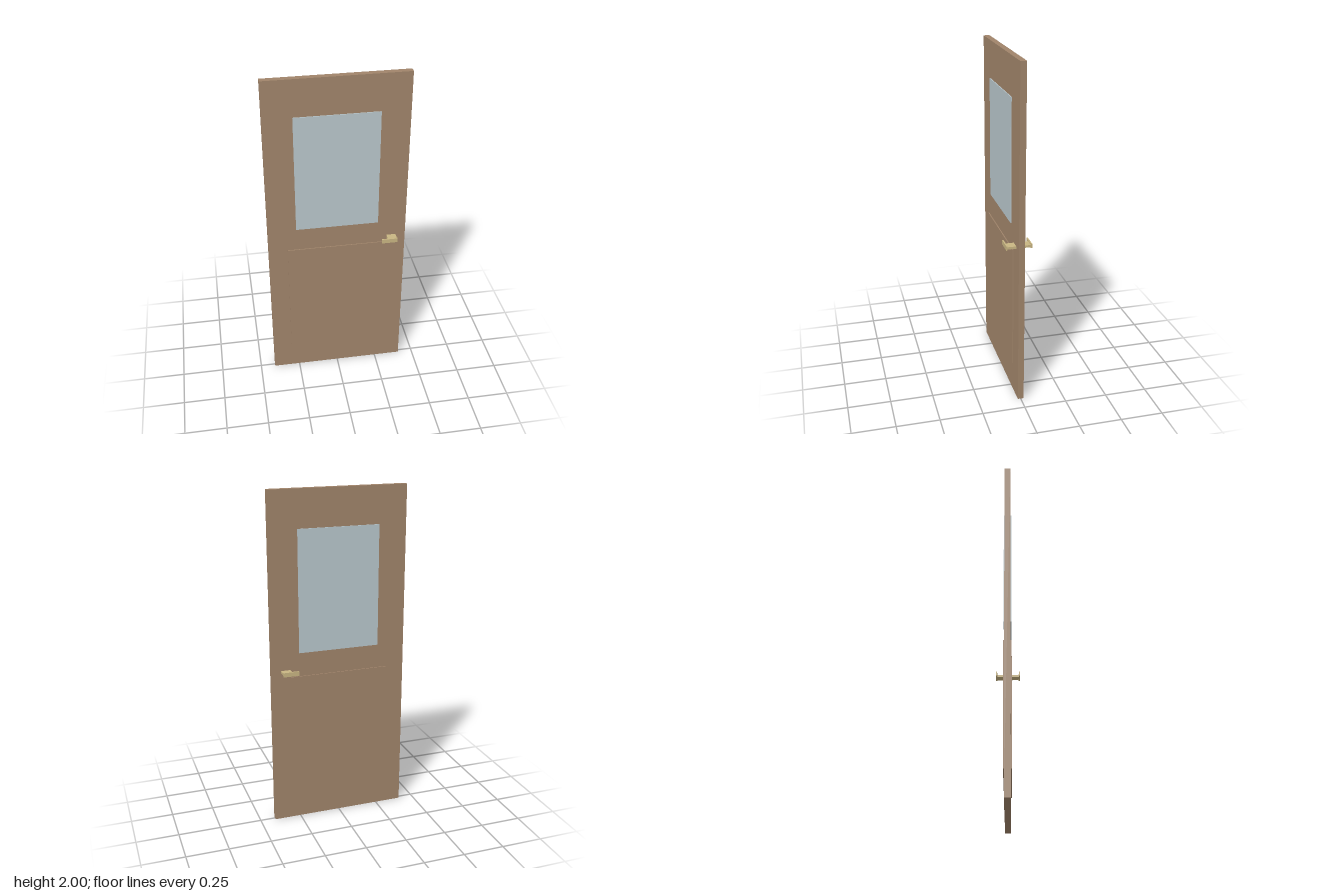
import * as THREE from 'three';

export function createModel() {
  const group = new THREE.Group();
  const material = (name, color) => {
    const m = new THREE.MeshStandardMaterial({ color });
    m.name = name;
    return m;
  };
  const wood = material('wood', 0xa0846a);
  const glass = material('glass', 0xb8c6cb);
  const brass = material('brass', 0xc8b582);

  // Box given by its limits on each axis
  const box = (name, mat, [x0, x1], [y0, y1], [z0, z1]) => {
    const mesh = new THREE.Mesh(new THREE.BoxGeometry(x1 - x0, y1 - y0, z1 - z0), mat);
    mesh.position.set((x0 + x1) / 2, (y0 + y1) / 2, (z0 + z1) / 2);
    mesh.name = name;
    group.add(mesh);
  };

  // Door leaf
  box('doorLeaf', wood, [-0.41, 0.41], [0, 2], [-0.0175, 0.0175]);

  // Window pane, slightly proud of both faces
  box('windowPane', glass, [-0.243, 0.243], [1.06, 1.78], [-0.0225, 0.0225]);

  // Raised lower panel and lever handle on each face
  for (const [side, s] of [['front', 1], ['back', -1]]) {
    const depth = (a, b) => (s > 0 ? [a, b] : [-b, -a]);
    box(side + 'Panel', wood, [-0.297, 0.297], [0.18, 0.917], depth(0.0165, 0.0235));
    box(side + 'HandleNeck', brass, [0.298, 0.353], [0.948, 0.962], depth(0.0165, 0.068));
    box(side + 'HandleLever', brass, [0.26, 0.353], [0.942, 0.968], depth(0.067, 0.075));
  }
  return group;
}
